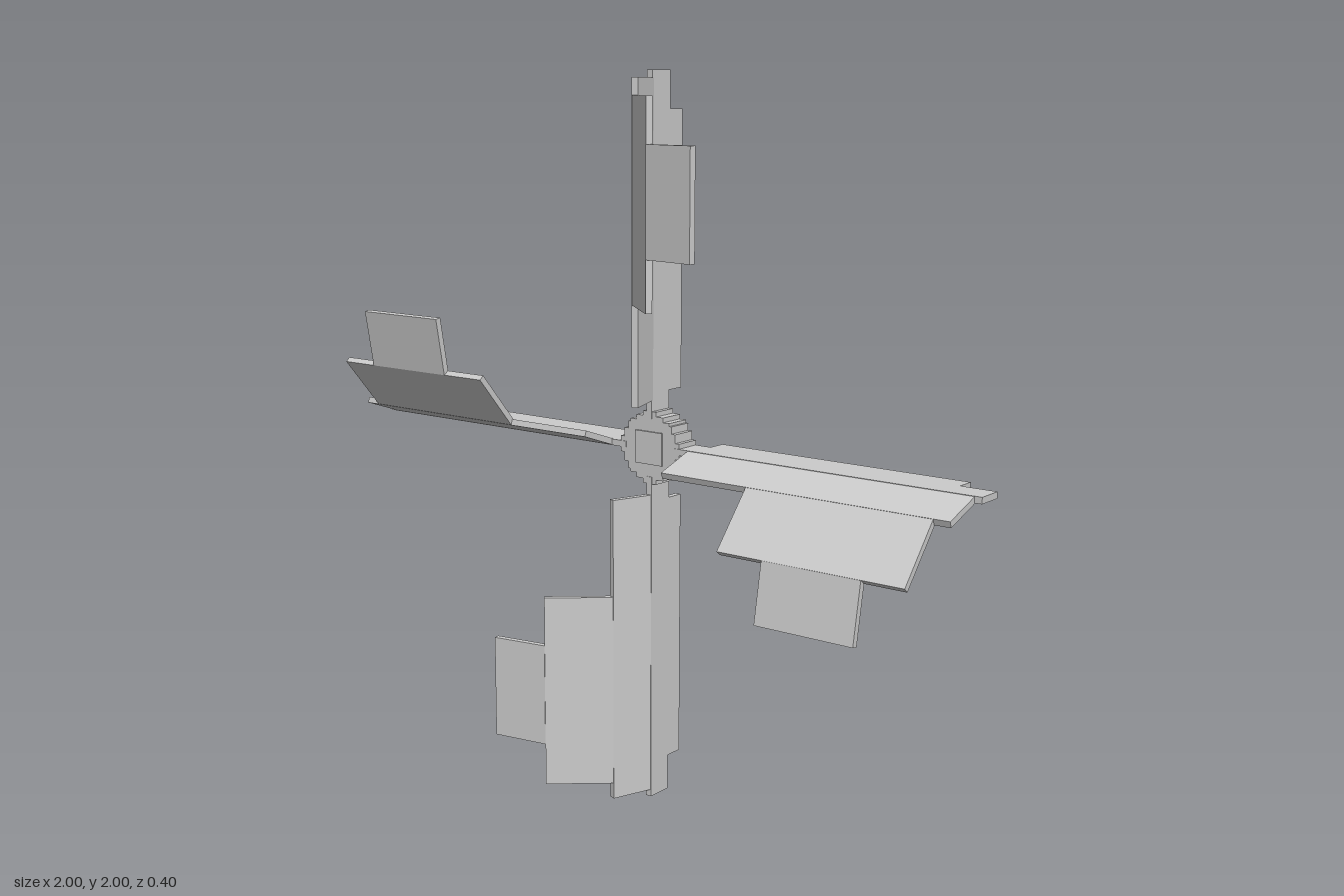
import * as THREE from 'three';

const material = new THREE.MeshStandardMaterial({ color: 0xcccccc, flatShading: true });
const THICK = 0.017;

// Flat plate between two (x, z) section points, spanning r0..r1 along the blade
function plate(name, [x0, z0], [x1, z1], r0, r1) {
  const dx = x1 - x0, dz = z1 - z0;
  const mesh = new THREE.Mesh(new THREE.BoxGeometry(THICK, r1 - r0, Math.hypot(dx, dz)), material);
  mesh.name = name;
  mesh.position.set((x0 + x1) / 2, (r0 + r1) / 2, (z0 + z1) / 2);
  mesh.rotation.y = Math.atan2(dx, dz);
  return mesh;
}

// One blade, pointing up: a folded fan of plates that bends towards the front
function makeBlade() {
  const blade = new THREE.Group();
  blade.add(
    plate('trailingStrip', [0, -0.2], [0, -0.147], 0.15, 0.9),
    plate('spar', [0, -0.147], [0, -0.07], 0.08, 1.0),
    plate('innerPanel', [0, -0.075], [0.04, 0.042], 0.13, 0.98),
    plate('middlePanel', [0.037, 0.037], [0.18, 0.16], 0.4, 0.935),
    plate('outerPanel', [0.176, 0.159], [0.334, 0.187], 0.535, 0.818)
  );
  return blade;
}

// Stepped round hub with a slightly raised square core
function makeHub() {
  const hub = new THREE.Group();
  hub.name = 'hub';
  const steps = [[0.1, 0.022], [0.087, 0.046], [0.074, 0.066], [0.066, 0.074], [0.046, 0.087], [0.022, 0.1]];
  const quarter = [];
  steps.forEach(([x, y], i) => {
    if (i > 0) quarter.push([x, steps[i - 1][1]]);
    quarter.push([x, y]);
  });
  const outline = [];
  for (let q = 0; q < 4; q++) {
    for (const [x, y] of quarter) {
      outline.push(new THREE.Vector2(x, y).rotateAround(new THREE.Vector2(), q * Math.PI / 2));
    }
  }
  const disc = new THREE.Mesh(
    new THREE.ExtrudeGeometry(new THREE.Shape(outline), { depth: 0.075, bevelEnabled: false }), material);
  disc.name = 'hubDisc';
  disc.position.z = -0.147;
  const core = new THREE.Mesh(new THREE.BoxGeometry(0.09, 0.09, 0.088), material);
  core.name = 'hubCore';
  core.position.z = -0.11;
  hub.add(disc, core);
  return hub;
}

export function createModel() {
  const model = new THREE.Group();
  model.name = 'propeller';
  model.add(makeHub());
  ['topBlade', 'leftBlade', 'bottomBlade', 'rightBlade'].forEach((name, i) => {
    const blade = makeBlade();
    blade.name = name;
    blade.rotation.z = -i * Math.PI / 2;
    model.add(blade);
  });
  model.children.forEach((part) => { part.position.y = 1; });
  return model;
}
